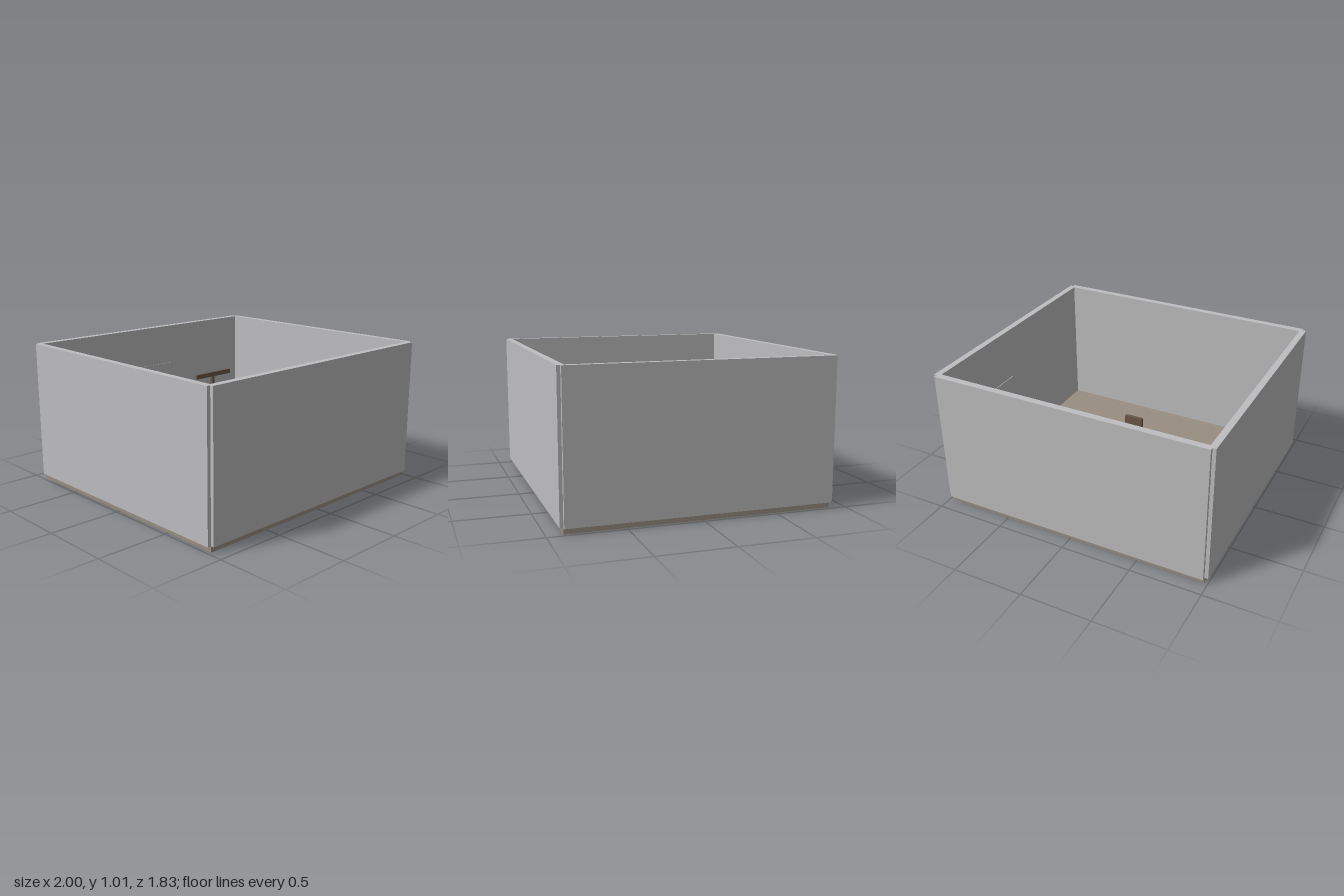
import * as THREE from 'three';

const paint = (name, color) => {
  const m = new THREE.MeshStandardMaterial({ color });
  m.name = name;
  return m;
};

export function createModel() {
  const wallGrey = paint('wallGrey', 0xbebec0);
  const floorTan = paint('floorTan', 0x988e82);
  const woodBrown = paint('woodBrown', 0x6b5747);
  const chairBlue = paint('chairBlue', 0x6080ba);

  const room = new THREE.Group();
  room.name = 'room';

  // box given by its minimum and maximum corners
  const box = (parent, name, mat, [x0, y0, z0], [x1, y1, z1]) => {
    const mesh = new THREE.Mesh(new THREE.BoxGeometry(x1 - x0, y1 - y0, z1 - z0), mat);
    mesh.position.set((x0 + x1) / 2, (y0 + y1) / 2, (z0 + z1) / 2);
    mesh.name = name;
    parent.add(mesh);
  };
  const post = (parent, name, mat, x, z, r, y0, y1) => {
    const mesh = new THREE.Mesh(new THREE.CylinderGeometry(r, r, y1 - y0, 12), mat);
    mesh.position.set(x, (y0 + y1) / 2, z);
    mesh.name = name;
    parent.add(mesh);
  };
  const group = (name, x = 0, z = 0, turn = 0) => {
    const g = new THREE.Group();
    g.name = name;
    g.position.set(x, 0, z);
    g.rotation.y = turn;
    room.add(g);
    return g;
  };

  // floor and the four walls, overlapping in stepped corners
  const F = 0.04, H = 1.01;
  box(room, 'floor', floorTan, [-0.975, 0, -0.892], [0.975, F, 0.892]);
  box(room, 'backWall', wallGrey, [-0.975, F, -0.915], [0.975, H, -0.868]);
  box(room, 'frontWall', wallGrey, [-0.975, F, 0.868], [0.975, H, 0.915]);
  box(room, 'rightWall', wallGrey, [-1, F, -0.892], [-0.955, H, 0.892]);
  box(room, 'leftWall', wallGrey, [0.955, F, -0.892], [1, H, 0.892]);

  // thin panels on the walls
  box(room, 'board', wallGrey, [-0.425, 0.37, -0.868], [0.225, 0.71, -0.864]);
  box(room, 'door', wallGrey, [-0.955, F, 0.02], [-0.942, 0.7, 0.3]);
  box(room, 'wallPanel', wallGrey, [0.95, 0.35, -0.31], [0.955, 0.63, -0.08]);

  // desk with legs set slightly behind the top
  const desk = group('desk');
  box(desk, 'deskTop', woodBrown, [-0.375, 0.27, -0.22], [0.372, 0.295, 0.055]);
  for (const x of [-0.325, 0.325])
    for (const z of [-0.28, 0]) post(desk, 'deskLeg', woodBrown, x, z, 0.01, F, 0.27);

  // chair: faces +z before turning, origin at the seat centre
  const chair = (name, mat, x, z, turn) => {
    const c = group(name, x, z, turn);
    box(c, 'seat', mat, [-0.076, 0.175, -0.065], [0.076, 0.2, 0.072]);
    box(c, 'backrest', mat, [-0.07, 0.175, -0.087], [0.07, 0.34, -0.062]);
    for (const lx of [-0.062, 0.062])
      for (const lz of [-0.052, 0.058]) post(c, 'chairLeg', mat, lx, lz, 0.008, F, 0.175);
  };
  chair('visitorChair1', chairBlue, -0.197, -0.375, 0);
  chair('visitorChair2', chairBlue, 0.064, -0.375, 0);
  chair('deskChair', woodBrown, 0.079, 0.153, Math.PI);
  chair('sideChair', wallGrey, 0.475, -0.085, Math.PI / 2);

  // coat rack: open square base, pole and crossbar
  const rack = group('coatRack', 0.583, -0.765);
  for (const s of [-1, 1]) {
    box(rack, 'baseRail', woodBrown, [-0.106, F, s * 0.076 - 0.011], [0.106, F + 0.025, s * 0.076 + 0.011]);
    box(rack, 'baseSide', woodBrown, [s * 0.094 - 0.012, F, -0.065], [s * 0.094 + 0.012, F + 0.025, 0.065]);
  }
  box(rack, 'baseCrossRail', woodBrown, [-0.082, F, 0], [0.082, F + 0.025, 0.02]);
  box(rack, 'pole', woodBrown, [-0.011, F, -0.007], [0.011, 0.592, 0.018]);
  box(rack, 'crossbar', woodBrown, [-0.19, 0.555, 0], [0.19, 0.59, 0.022]);

  return room;
}
